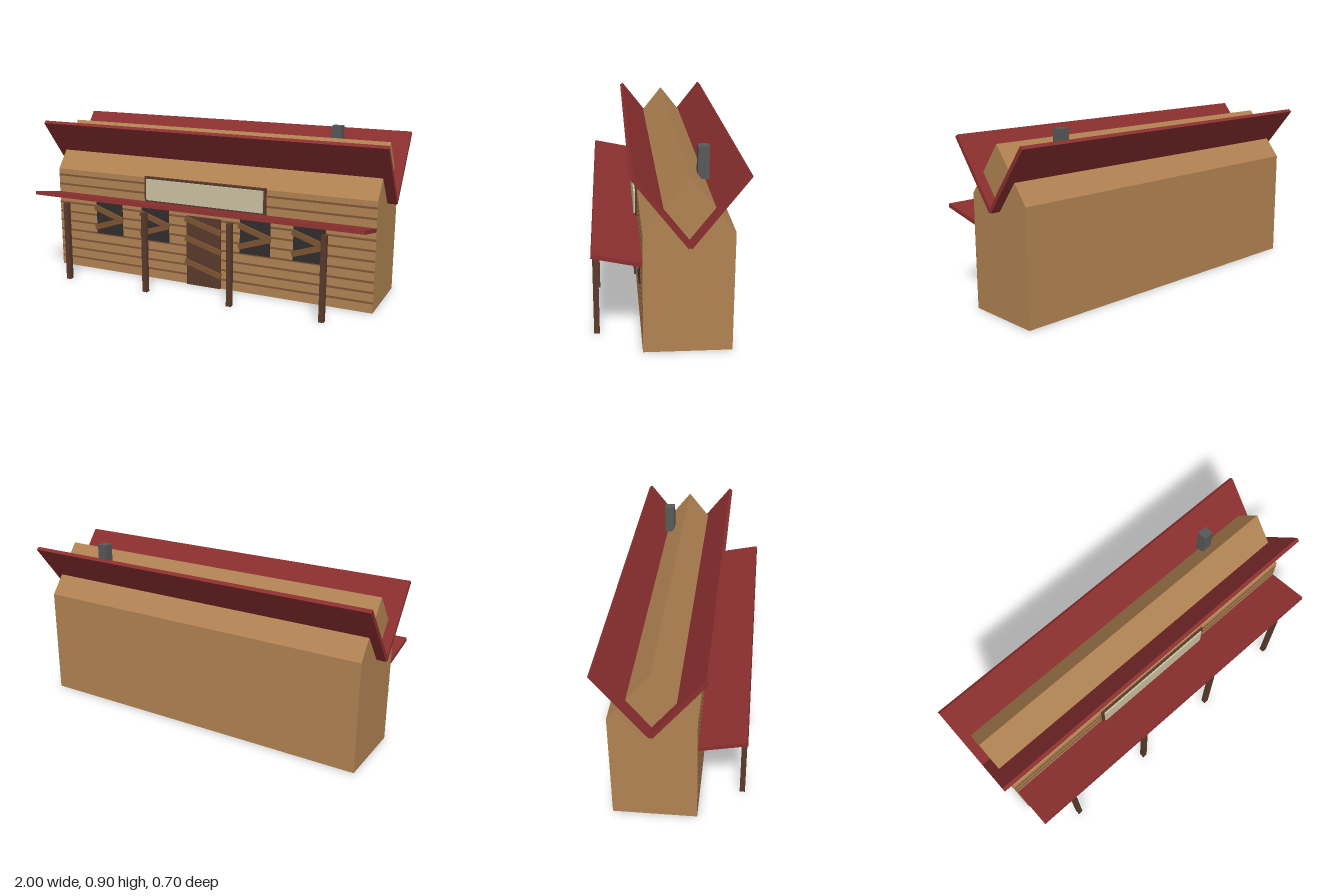
import * as THREE from 'three';

const mat = (name, color) => {
  const m = new THREE.MeshStandardMaterial({ color });
  m.name = name;
  return m;
};

export function createModel() {
  const root = new THREE.Group();
  root.name = 'boardedBuilding';

  const wall = mat('wallTan', 0xb18352);
  const red = mat('roofRed', 0x8b2f2f);
  const darkWood = mat('darkWood', 0x5a3a2c);
  const groove = mat('sidingBrown', 0x80583a);
  const plank = mat('plankBrown', 0x7d5432);
  const glass = mat('windowBlack', 0x332d2d);
  const cream = mat('signCream', 0xccc2a2);
  const grey = mat('chimneyGrey', 0x585858);

  // Box from centre and size, optionally rotated
  function box(name, material, [w, h, d], [x, y, z], rx = 0, rz = 0, parent = root) {
    const m = new THREE.Mesh(new THREE.BoxGeometry(w, h, d), material);
    m.name = name;
    m.position.set(x, y, z);
    m.rotation.set(rx, 0, rz);
    parent.add(m);
    return m;
  }

  // Gabled body: end profile drawn in (-z, y) and extruded along x
  const FRONT = 0.12, BACK = -0.295, RIDGE = -0.0875;
  const profile = new THREE.Shape([
    [-FRONT, 0], [-BACK, 0], [-BACK, 0.585], [-RIDGE, 0.847], [-FRONT, 0.585],
  ].map(([u, v]) => new THREE.Vector2(u, v)));
  const bodyGeo = new THREE.ExtrudeGeometry(profile, { depth: 1.9, bevelEnabled: false });
  bodyGeo.translate(0, 0, -0.95);
  bodyGeo.rotateY(Math.PI / 2);
  const body = new THREE.Mesh(bodyGeo, wall);
  body.name = 'body';
  root.add(body);

  // Horizontal siding strips on the front wall
  for (let i = 1; i <= 10; i++) {
    box('sidingStrip', groove, [1.9, 0.011, 0.004], [0, i * 0.055, FRONT]);
  }

  // Two roof slabs meeting in a V
  for (const s of [1, -1]) {
    box(s > 0 ? 'roofFront' : 'roofBack', red, [2, 0.415, 0.021],
      [0, 0.7, RIDGE + s * 0.127], s * 0.663);
  }

  // Porch awning and its posts
  box('awning', red, [1.9, 0.02, 0.23], [0, 0.462, 0.235], -0.209);
  for (const x of [-0.75, -0.25, 0.25, 0.75]) {
    box('porchPost', darkWood, [0.027, 0.445, 0.027], [x, 0.2225, 0.333]);
  }

  // Chimney
  box('chimney', grey, [0.054, 0.157, 0.054], [0.645, 0.8215, -0.179]);

  // Blank sign
  box('signFrame', darkWood, [0.73, 0.146, 0.012], [0, 0.52, 0.124]);
  box('signPanel', cream, [0.7, 0.12, 0.009], [0, 0.52, 0.1342]);

  // Door with three nailed planks
  box('door', darkWood, [0.205, 0.395, 0.012], [0, 0.1975, 0.124]);
  for (const y of [0.35, 0.24, 0.105]) {
    box('doorPlank', plank, [0.226, 0.03, 0.012], [0, y, 0.133], 0, -0.28);
  }

  // Windows, each with two crossing planks
  for (const x of [-0.605, -0.303, 0.303, 0.605]) {
    const g = new THREE.Group();
    g.name = 'boardedWindow';
    g.position.x = x;
    root.add(g);
    box('windowPane', glass, [0.172, 0.19, 0.009], [0, 0.318, 0.1225], 0, 0, g);
    box('windowPlankUpper', plank, [0.192, 0.03, 0.012], [0, 0.35, 0.133], 0, -0.32, g);
    box('windowPlankLower', plank, [0.192, 0.03, 0.011], [0, 0.29, 0.1328], 0, 0.32, g);
  }

  return root;
}
